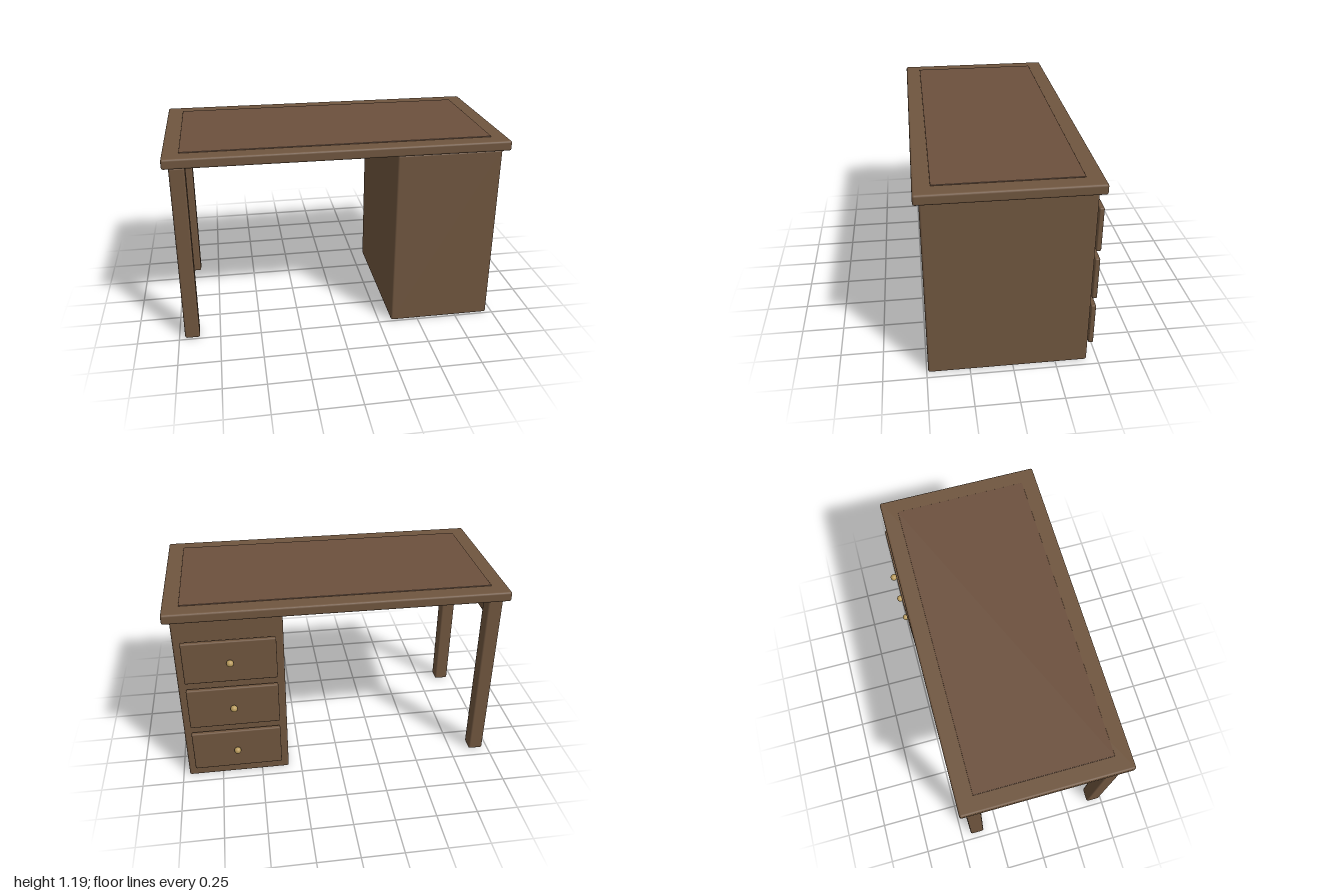
import * as THREE from 'three';
import { RoundedBoxGeometry } from 'three/addons/geometries/RoundedBoxGeometry.js';

const material = (name, color) => {
  const m = new THREE.MeshStandardMaterial({ color });
  m.name = name;
  return m;
};

export function createModel() {
  const desk = new THREE.Group();
  desk.name = 'desk';
  const wood = material('brown wood', 0x70563f);
  const inlayWood = material('reddish brown inlay', 0x6c503d);
  const brass = material('brass', 0xb89a5c);

  // Softly bevelled block given by its min and max on each axis
  const block = (name, [x0, x1], [y0, y1], [z0, z1], bevel, mat = wood) => {
    const mesh = new THREE.Mesh(new RoundedBoxGeometry(x1 - x0, y1 - y0, z1 - z0, 2, bevel), mat);
    mesh.name = name;
    mesh.position.set((x0 + x1) / 2, (y0 + y1) / 2, (z0 + z1) / 2);
    desk.add(mesh);
    return mesh;
  };

  // Table top and its thin raised centre panel
  block('tableTop', [-1, 1], [1.125, 1.185], [-0.47, 0.522], 0.012);
  block('topInlay', [-0.905, 0.905], [1.181, 1.19], [-0.372, 0.428], 0.002, inlayWood);

  // Drawer cabinet
  block('cabinet', [0.33, 0.96], [0.004, 1.122], [-0.436, 0.491], 0.012);

  // Three drawer fronts, each with a round knob, on the back face
  for (const y of [0.225, 0.545, 0.865]) {
    block('drawerFront', [0.375, 0.915], [y - 0.135, y + 0.135], [-0.483, -0.454], 0.008);
    const knob = new THREE.Mesh(new THREE.SphereGeometry(0.021, 20, 14), brass);
    knob.name = 'drawerKnob';
    knob.position.set(0.645, y, -0.501);
    desk.add(knob);
  }

  // Two legs joined by a rail
  for (const z of [-0.391, 0.446]) {
    block('leg', [-0.965, -0.875], [0.004, 1.122], [z - 0.045, z + 0.045], 0.012);
  }
  block('legRail', [-0.94, -0.9], [0.98, 1.1], [-0.36, 0.415], 0.006);

  return desk;
}
